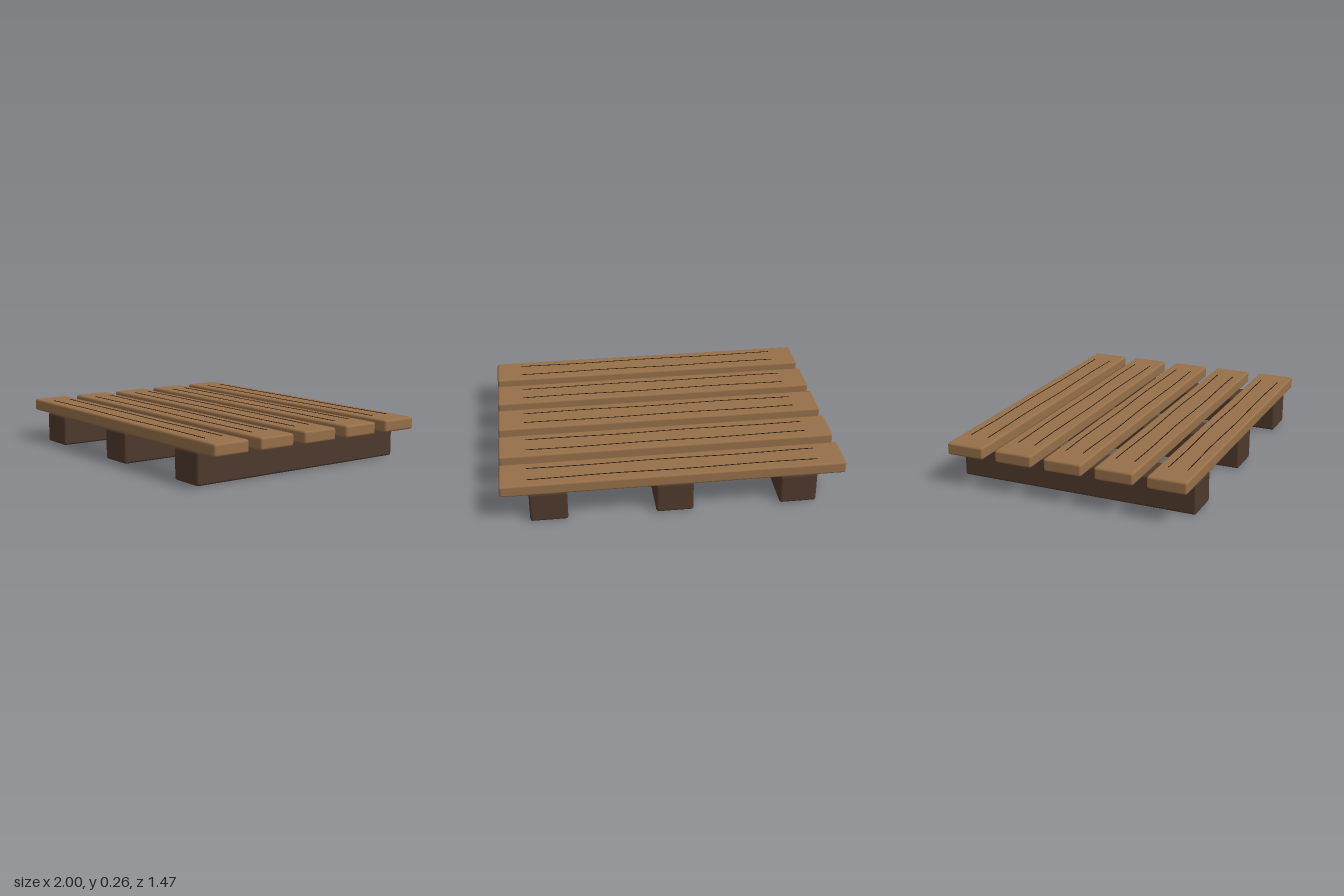
import * as THREE from 'three';
import { RoundedBoxGeometry } from 'three/addons/geometries/RoundedBoxGeometry.js';

const RUNNER = { width: 0.218, height: 0.186, length: 1.456, spacing: 0.727 };
const PLANK = { length: 2, height: 0.073, width: 0.232, spacing: 0.31 };

export function createModel() {
  const model = new THREE.Group();
  model.name = 'pallet';
  const material = (color) => new THREE.MeshStandardMaterial({ color });
  const plankWood = material(0x966f49);
  const runnerWood = material(0x4e392c);
  const grainDark = material(0x24180f);

  const add = (parent, name, geometry, mat, x, y, z) => {
    const mesh = new THREE.Mesh(geometry, mat);
    mesh.name = name;
    mesh.position.set(x, y, z);
    parent.add(mesh);
  };

  // Three beams running front to back under the deck
  const runnerShape = new RoundedBoxGeometry(RUNNER.width, RUNNER.height, RUNNER.length, 2, 0.014);
  ['rightRunner', 'middleRunner', 'leftRunner'].forEach((name, i) => {
    add(model, name, runnerShape, runnerWood, (i - 1) * RUNNER.spacing, RUNNER.height / 2, 0);
  });

  // Thin, slightly wavy grain line, half sunk into the plank top
  const grainLine = (phase) => {
    const points = [];
    for (let i = 0; i <= 24; i++) {
      const x = -0.84 + 1.68 * i / 24;
      points.push(new THREE.Vector3(x, 0, 0.003 * Math.sin(x * 7 + phase)));
    }
    return new THREE.TubeGeometry(new THREE.CatmullRomCurve3(points), 72, 0.0032, 6);
  };

  // Five deck planks, each with two grain lines
  const plankShape = new RoundedBoxGeometry(PLANK.length, PLANK.height, PLANK.width, 2, 0.014);
  for (let i = 0; i < 5; i++) {
    const plank = new THREE.Group();
    plank.name = `deckPlank${i + 1}`;
    plank.position.set(0, RUNNER.height + PLANK.height / 2 - 0.001, (i - 2) * PLANK.spacing);
    add(plank, 'plankBoard', plankShape, plankWood, 0, 0, 0);
    [-1, 1].forEach((side) => {
      add(plank, 'grainLine', grainLine(i * 1.7 + side), grainDark, 0, PLANK.height / 2, side * 0.055);
    });
    model.add(plank);
  }
  return model;
}
